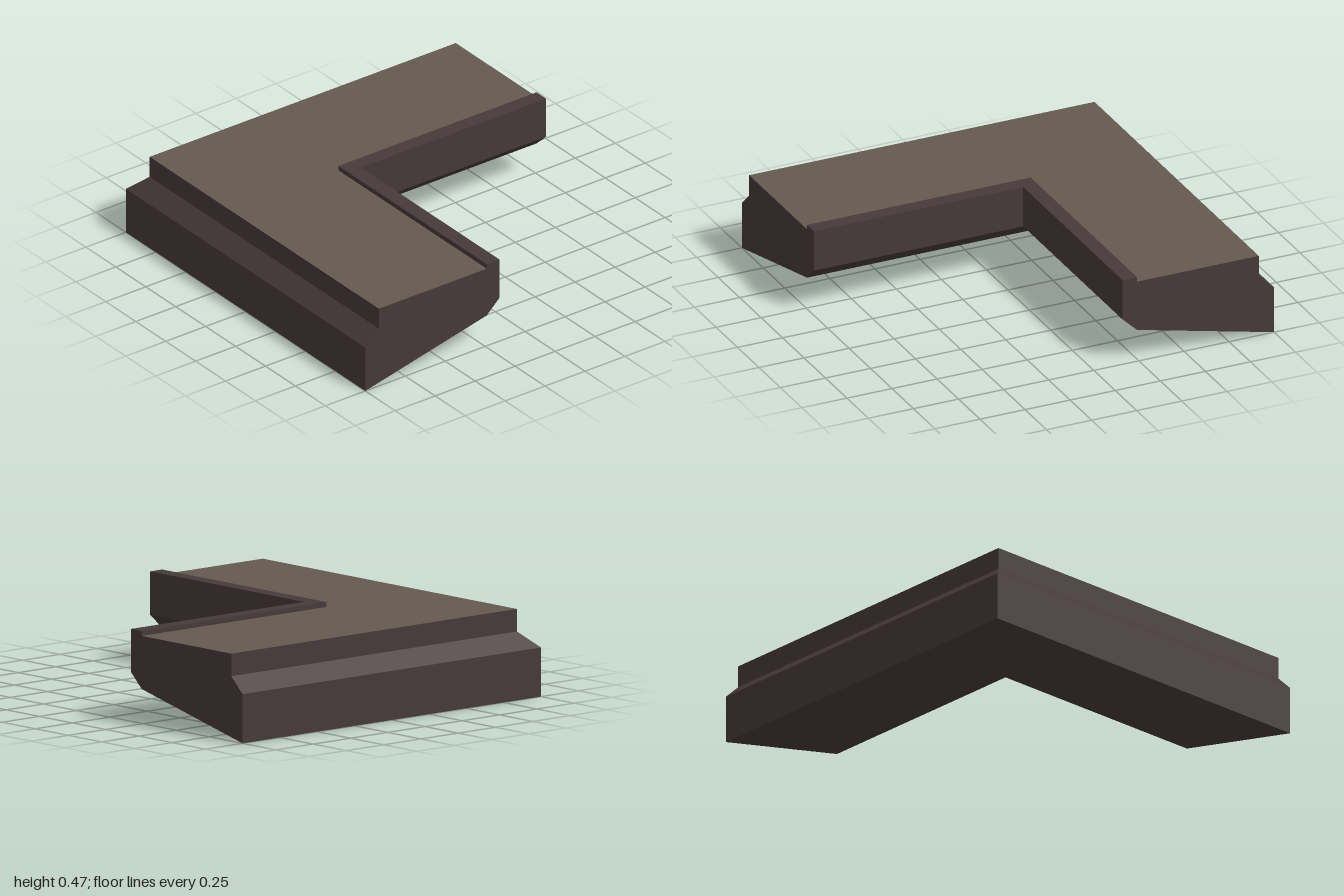
import * as THREE from 'three';

// Cross-section: distance in from the outer edge, height
const PROFILE = [
  [0, 0], [0, 0.25], [0.085, 0.33], [0.085, 0.445], [0.76, 0.445],
  [0.76, 0.47], [0.84, 0.47], [0.84, 0.25], [0.76, 0.175],
];
const FLOOR = 3; // profile side that forms the walkway

// The cross-section at the back end, the mitred corner and the right end
const stations = [
  ([d, y]) => [d - 1, y, -1],
  ([d, y]) => [d - 1, y, 1 - d],
  ([d, y]) => [1, y, 1 - d],
];

// Sweeps the chosen profile sides around the L
function sweep(sides) {
  const pos = [];
  for (const i of sides) {
    const p = PROFILE[i], q = PROFILE[(i + 1) % PROFILE.length];
    for (let s = 0; s < 2; s++) {
      const a = stations[s](p), b = stations[s](q);
      const a1 = stations[s + 1](p), b1 = stations[s + 1](q);
      pos.push(...a, ...a1, ...b, ...a1, ...b1, ...b);
    }
  }
  const g = new THREE.BufferGeometry();
  g.setAttribute('position', new THREE.Float32BufferAttribute(pos, 3));
  g.computeVertexNormals();
  return g;
}

// Flat end face, facing +z before it is placed
function cap(sign) {
  return new THREE.ShapeGeometry(new THREE.Shape(PROFILE.map(([d, y]) => new THREE.Vector2(sign * d, y))));
}

export function createModel() {
  const group = new THREE.Group();
  const trim = new THREE.MeshStandardMaterial({ color: 0x463939 });
  trim.name = 'dark brown trim';
  const stone = new THREE.MeshStandardMaterial({ color: 0x655a4e });
  stone.name = 'tan floor';

  const add = (name, geometry, material) => {
    const mesh = new THREE.Mesh(geometry, material);
    mesh.name = name;
    group.add(mesh);
  };

  // Ledge body, with its chamfers, inner lip and sloping underside
  add('ledgeBody', sweep(PROFILE.map((_, i) => i).filter((i) => i !== FLOOR)), trim);
  // Walkway on top
  add('floor', sweep([FLOOR]), stone);
  // Cut ends
  add('backEnd', cap(-1).rotateY(Math.PI).translate(-1, 0, -1), trim);
  add('rightEnd', cap(1).rotateY(Math.PI / 2).translate(1, 0, 1), trim);
  return group;
}
